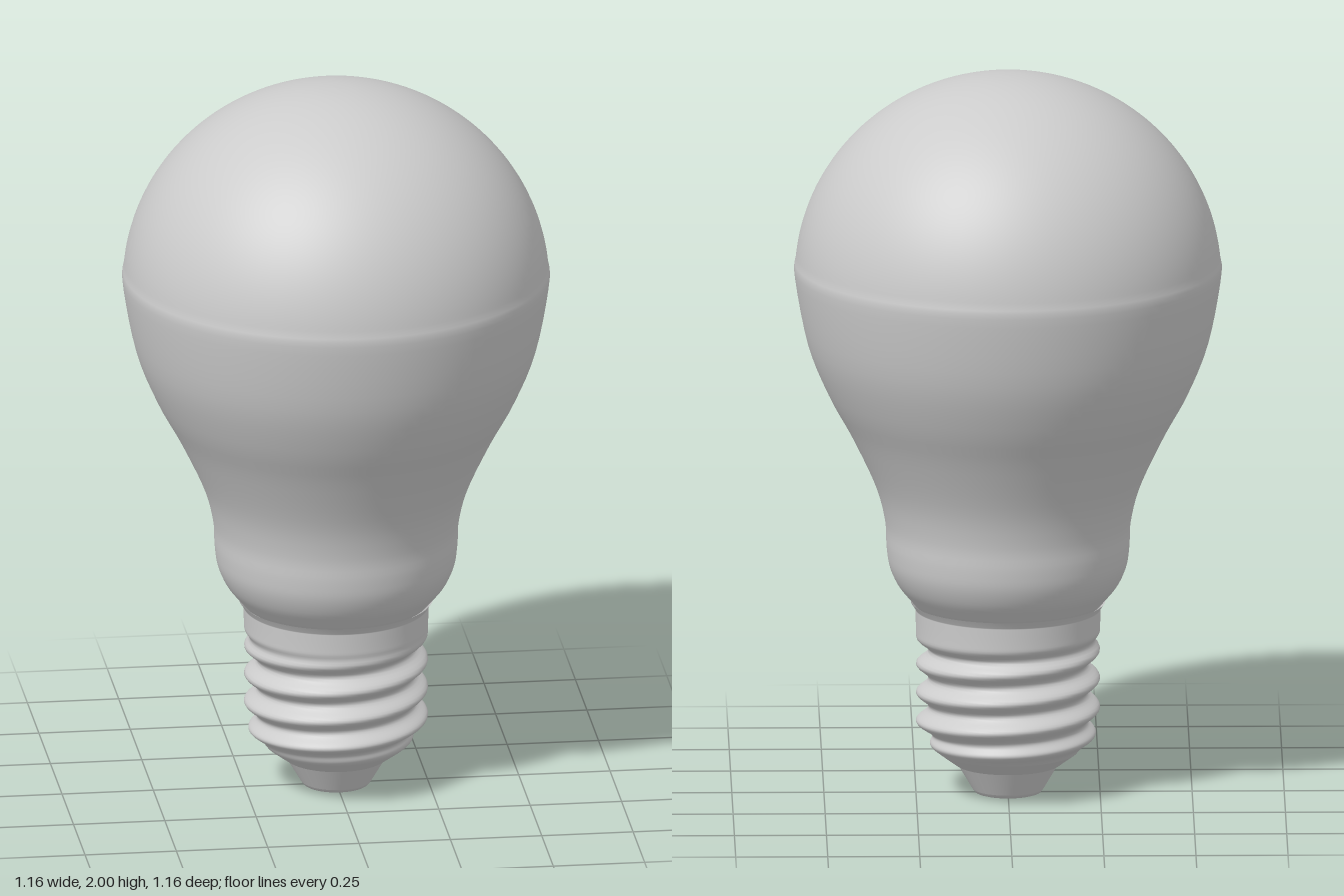
import * as THREE from 'three';
import { mergeVertices } from 'three/addons/utils/BufferGeometryUtils.js';

const SEGMENTS = 96;
const PITCH = 0.08;
const smooth = THREE.MathUtils.smoothstep;
const toPoints = (pairs) => pairs.map(([r, y]) => new THREE.Vector2(r, y));

export function createModel() {
  const group = new THREE.Group();
  const material = new THREE.MeshStandardMaterial({ color: 0xcccccc, side: THREE.DoubleSide });

  const add = (name, geometry) => {
    const mesh = new THREE.Mesh(geometry, material);
    mesh.name = name;
    group.add(mesh);
  };

  // Glass envelope: curved neck leading into an elliptical dome
  const neck = toPoints([
    [0.25, 0.525], [0.268, 0.545], [0.3, 0.585], [0.322, 0.635], [0.33, 0.69], [0.334, 0.76],
    [0.36, 0.86], [0.425, 1.0], [0.49, 1.12], [0.545, 1.26],
  ]);
  const dome = [];
  for (let i = 0; i <= 16; i++) {
    const a = (i / 16) * Math.PI / 2;
    dome.push(new THREE.Vector2(0.579 * Math.cos(a), 1.44 + 0.56 * Math.sin(a)));
  }
  dome[16].x = 0;
  const profile = new THREE.SplineCurve([...neck, ...dome]).getPoints(110);
  profile[110].x = 0;
  add('glassBulb', new THREE.LatheGeometry(profile, SEGMENTS));

  // Screw shell: plain lathe whose wall is pressed inward along a helix
  const shellProfile = toPoints([[0.142, 0.08], [0.19, 0.115]]);
  const wall = new THREE.SplineCurve(toPoints([
    [0.19, 0.115], [0.23, 0.15], [0.249, 0.19], [0.25, 0.26], [0.25, 0.35], [0.25, 0.45], [0.252, 0.515],
  ])).getPoints(84);
  shellProfile.push(...wall.slice(1), ...toPoints([[0.264, 0.533]]));
  let shell = new THREE.LatheGeometry(shellProfile, SEGMENTS);
  const pos = shell.attributes.position;
  for (let i = 0; i < pos.count; i++) {
    const x = pos.getX(i), y = pos.getY(i), z = pos.getZ(i);
    const angle = Math.atan2(-z, x);
    const phase = 2 * Math.PI * (y - 0.2) / PITCH - angle;
    const fade = smooth(y, 0.11, 0.17) * (1 - smooth(y, 0.4, 0.455));
    const depth = 0.034 * fade * (0.5 - 0.5 * Math.cos(phase));
    const scale = 1 - depth / Math.hypot(x, z);
    pos.setX(i, x * scale);
    pos.setZ(i, z * scale);
  }
  // Weld the seam so the thread shades continuously
  shell.deleteAttribute('uv');
  shell.deleteAttribute('normal');
  shell = mergeVertices(shell, 1e-5);
  shell.computeVertexNormals();
  add('screwShell', shell);

  // Closing ring under the shell
  const rim = new THREE.RingGeometry(0.12, 0.142, SEGMENTS);
  rim.rotateX(Math.PI / 2);
  rim.translate(0, 0.08, 0);
  add('shellRim', rim);

  // Insulator cone
  const insulator = new THREE.CylinderGeometry(0.138, 0.097, 0.07, SEGMENTS, 1, true);
  insulator.translate(0, 0.047, 0);
  add('insulator', insulator);

  // Bottom contact with a rounded rim and small central dimple
  add('baseContact', new THREE.LatheGeometry(toPoints([
    [0, 0.005], [0.01, 0.004], [0.022, 0], [0.08, 0], [0.09, 0.003], [0.097, 0.012],
  ]), SEGMENTS));

  return group;
}
